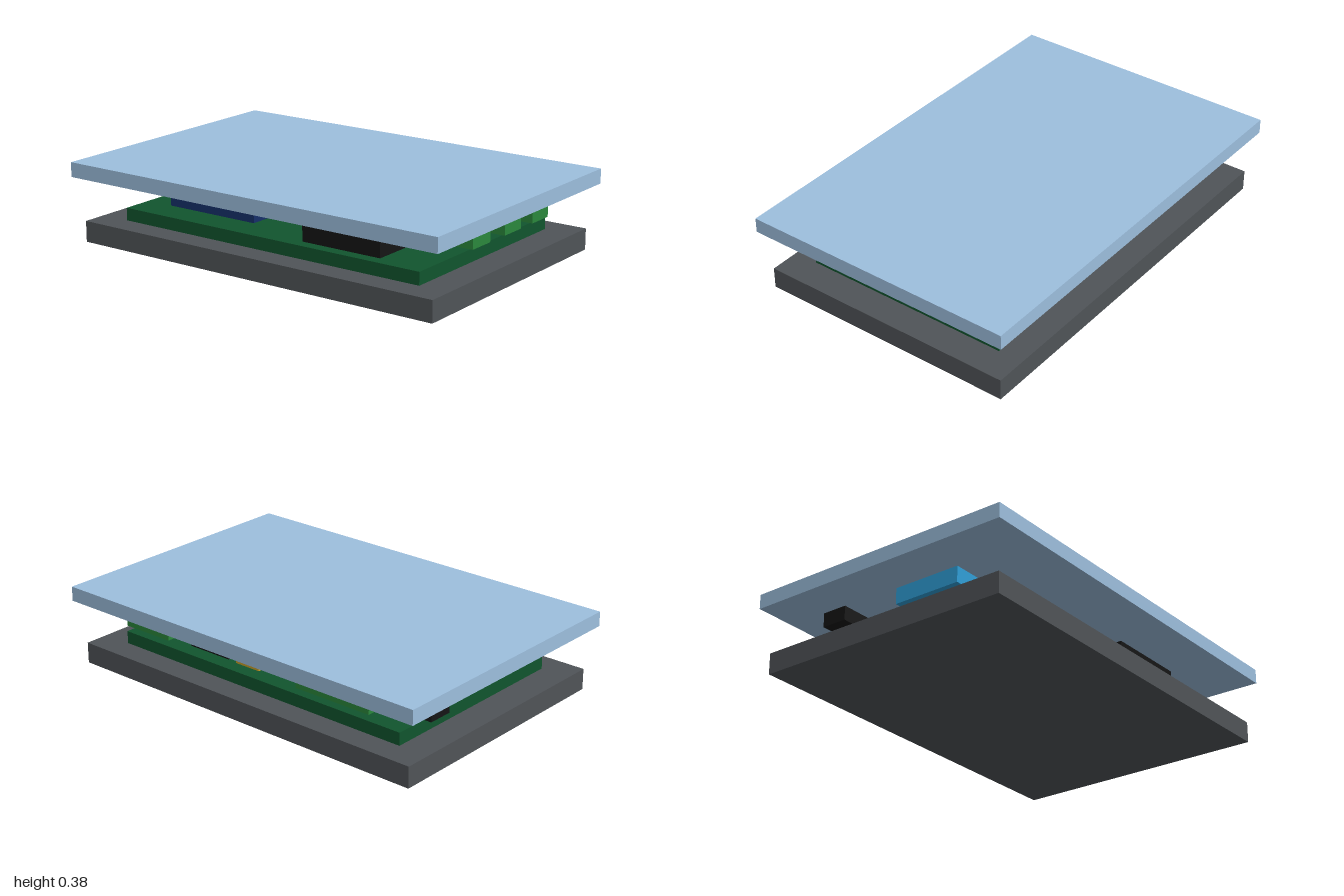
import * as THREE from 'three';

const COLORS = {
  lid: 0x9dbfde, base: 0x505458, board: 0x11552e, green: 0x2b883c, navy: 0x16306a,
  gold: 0xc9a02a, blue: 0x2f9fd8, black: 0x151515, silver: 0xb8c8d4, red: 0xd8502a,
};

export function createModel() {
  const model = new THREE.Group();
  model.name = 'explodedDeviceStack';
  const materials = {};
  for (const key in COLORS) materials[key] = new THREE.MeshStandardMaterial({ color: COLORS[key] });

  // Box given by its extents along each axis
  function block(name, color, [x0, x1], [y0, y1], [z0, z1]) {
    const mesh = new THREE.Mesh(new THREE.BoxGeometry(x1 - x0, y1 - y0, z1 - z0), materials[color]);
    mesh.position.set((x0 + x1) / 2, (y0 + y1) / 2, (z0 + z1) / 2);
    mesh.name = name;
    model.add(mesh);
  }

  // Layers: bottom case, circuit board, floating lid
  block('bottomCase', 'base', [-0.955, 0.955], [0, 0.1], [-0.63, 0.63]);
  block('circuitBoard', 'board', [-0.81, 0.81], [0.1, 0.16], [-0.51, 0.51]);
  block('lid', 'lid', [-1, 1], [0.31, 0.38], [-0.667, 0.667]);

  // Large modules on the board
  block('radioModule', 'navy', [-0.67, -0.18], [0.16, 0.275], [-0.04, 0.36]);
  block('frontModule', 'black', [0.165, 0.575], [0.16, 0.275], [0.215, 0.455]);
  block('processorChip', 'black', [-0.04, 0.155], [0.175, 0.263], [-0.12, 0.08]);
  block('goldComponent', 'gold', [-0.18, -0.03], [0.175, 0.263], [-0.34, -0.265]);
  block('indicator', 'red', [0.155, 0.25], [0.19, 0.25], [-0.22, -0.13]);

  // Terminal blocks along the left edge
  [[0.01, 0.15], [-0.245, -0.11], [-0.48, -0.345]].forEach((z, i) =>
    block('sideTerminal' + (i + 1), 'green', [0.57, 0.84], [0.17, 0.286], z));

  // Connectors along the back edge
  block('backTerminal', 'green', [-0.62, -0.21], [0.17, 0.286], [-0.48, -0.29]);
  block('backSocket', 'black', [0.17, 0.4], [0.2, 0.242], [-0.5, -0.38]);
  block('antennaConnector', 'gold', [-0.04, 0.095], [0.215, 0.263], [-0.53, -0.41]);
  block('metalSocket', 'silver', [-0.26, -0.11], [0.215, 0.263], [-0.51, -0.41]);

  // Connectors along the right edge
  block('sideHeader', 'blue', [-0.82, -0.67], [0.21, 0.286], [-0.03, 0.305]);
  block('powerSocket', 'black', [-0.88, -0.68], [0.185, 0.252], [-0.39, -0.268]);

  return model;
}
